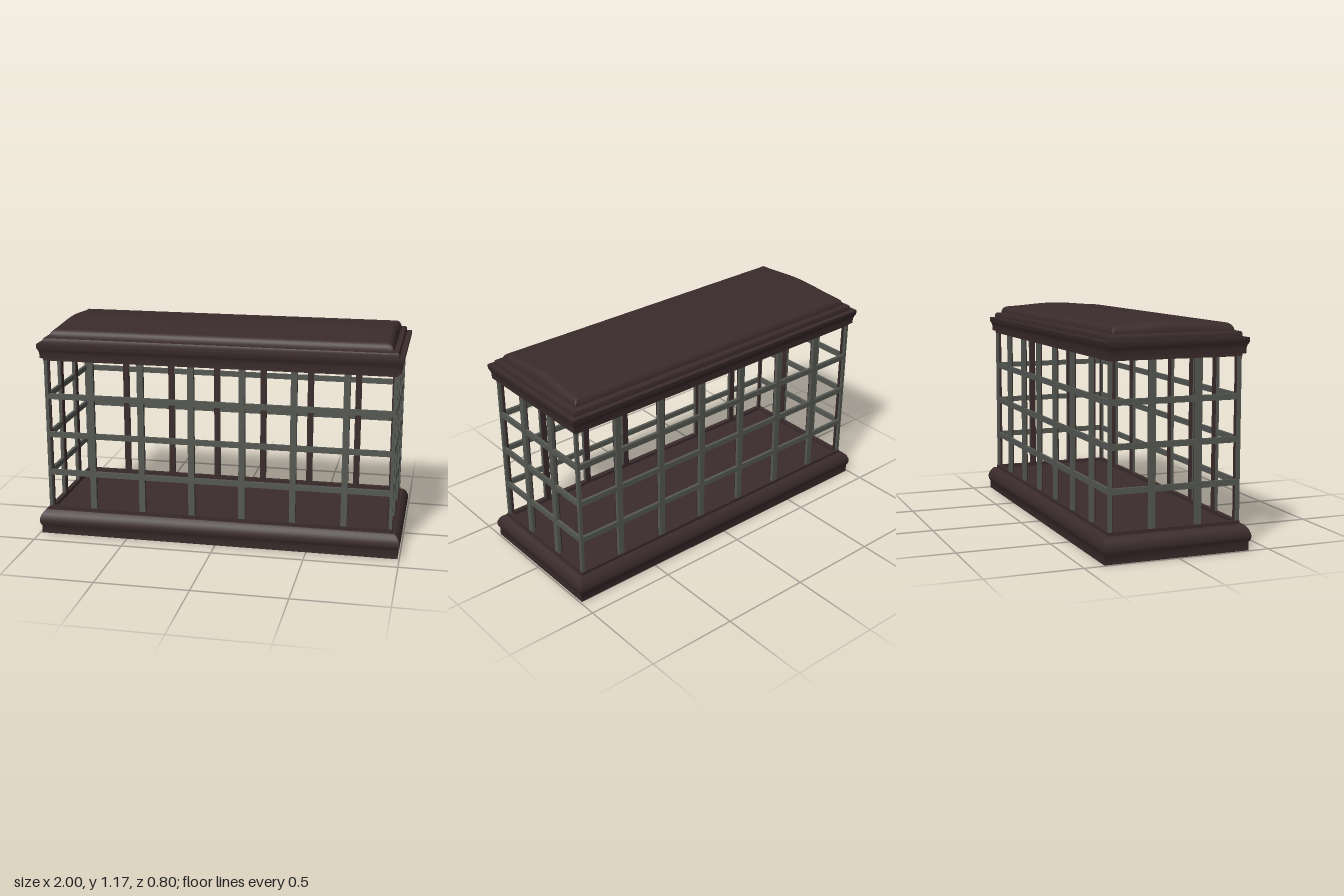
import * as THREE from 'three';
import { toCreasedNormals } from 'three/addons/utils/BufferGeometryUtils.js';

const EXTRA = 0.598; // how much longer the half length is than the half depth

// Rectangular moulding: each profile point is [half depth, height], bottom to top
function moulding(profile) {
  const pos = [];
  const idx = [];
  for (const [d, y] of profile) {
    const w = d + EXTRA;
    pos.push(w, y, d, w, y, -d, -w, y, -d, -w, y, d);
  }
  for (let i = 0; i < profile.length - 1; i++) {
    for (let k = 0; k < 4; k++) {
      const a = i * 4 + k, b = i * 4 + (k + 1) % 4;
      idx.push(a, b, b + 4, a, b + 4, a + 4);
    }
  }
  const geo = new THREE.BufferGeometry();
  geo.setAttribute('position', new THREE.Float32BufferAttribute(pos, 3));
  geo.setIndex(idx);
  return toCreasedNormals(geo, 0.6);
}

// Crown of the roof: rounded rim with a gentle arch across the depth
function crownGeometry() {
  const rim = 0.035;
  const insets = [0, 0.001, 0.004, 0.009, 0.016, 0.025, rim];
  const line = (half, inner) => {
    const out = insets.map((d) => d - half);
    const e = half - rim;
    for (let i = 1; i < inner; i++) out.push(-e + (2 * e * i) / inner);
    return out.concat(insets.map((d) => half - d).reverse());
  };
  const hx = 0.925, hz = 0.327;
  const xs = line(hx, 6), zs = line(hz, 16);
  const geo = new THREE.PlaneGeometry(1, 1, xs.length - 1, zs.length - 1);
  const p = geo.attributes.position;
  for (let j = 0; j < zs.length; j++) {
    for (let i = 0; i < xs.length; i++) {
      const x = xs[i], z = zs[j];
      const t = Math.min(1, Math.min(hx - Math.abs(x), hz - Math.abs(z)) / rim);
      const round = Math.sqrt(Math.max(0, 1 - (1 - t) ** 2));
      const arch = 0.009 * (1 + Math.cos((Math.PI * z) / hz));
      p.setXYZ(j * xs.length + i, x, 1.108 + round * (0.042 + arch), z);
    }
  }
  geo.computeVertexNormals();
  return geo;
}

export function createModel() {
  const model = new THREE.Group();
  model.name = 'glazedKiosk';
  const wood = new THREE.MeshStandardMaterial({ name: 'dark brown wood', color: 0x3b2b2c });
  const metal = new THREE.MeshStandardMaterial({ name: 'grey metal', color: 0x555853 });

  const add = (parent, name, geo, mat) => {
    const mesh = new THREE.Mesh(geo, mat);
    mesh.name = name;
    parent.add(mesh);
    return mesh;
  };
  const box = (parent, name, size, at, mat) =>
    add(parent, name, new THREE.BoxGeometry(...size), mat).position.set(...at);

  // Base with bulging rim, raised sill and floor
  add(model, 'base', moulding([
    [0, 0], [0.392, 0], [0.392, 0.045], [0.399, 0.056], [0.402, 0.072], [0.4, 0.09],
    [0.392, 0.11], [0.381, 0.124], [0.37, 0.133], [0.357, 0.133], [0.357, 0.15],
    [0.331, 0.15], [0.331, 0.133], [0, 0.133],
  ]), wood);

  // Roof cornice and stepped ledge
  add(model, 'cornice', moulding([
    [0, 0.985], [0.357, 0.985], [0.357, 1.0], [0.371, 1.0], [0.372, 1.028], [0.376, 1.043],
    [0.383, 1.056], [0.384, 1.08], [0.357, 1.08], [0.357, 1.098], [0.353, 1.107],
    [0.345, 1.11], [0, 1.11],
  ]), wood);
  add(model, 'roofCrown', crownGeometry(), wood);

  // Corner posts
  const low = 0.145, high = 0.99;
  const mid = (low + high) / 2, tall = high - low;
  for (const sx of [-1, 1]) {
    for (const sz of [-1, 1]) {
      box(model, 'cornerPost', [0.018, tall, 0.018], [sx * 0.944, mid, sz * 0.346], metal);
      box(model, 'cornerLining', [0.012, tall, 0.012], [sx * 0.933, mid, sz * 0.335], wood);
    }
  }

  // One wall lattice, built facing +z: metal bars lined with wood on the inside
  function lattice(name, width, uprights) {
    const wall = new THREE.Group();
    wall.name = name;
    for (const x of uprights) {
      box(wall, 'upright', [0.034, tall, 0.018], [x, mid, -0.009], metal);
      box(wall, 'uprightLining', [0.034, tall, 0.006], [x, mid, -0.021], wood);
    }
    for (const y of [0.349, 0.567, 0.784]) {
      box(wall, 'crossbar', [width, 0.03, 0.016], [0, y, -0.009], metal);
    }
    model.add(wall);
    return wall;
  }

  const longBars = [-2.5, -1.5, -0.5, 0.5, 1.5, 2.5].map((k) => k * 0.278);
  const shortBars = [-0.1245, 0.1245];
  lattice('frontLattice', 1.89, longBars).position.z = 0.355;
  const back = lattice('backLattice', 1.89, longBars);
  back.position.z = -0.355;
  back.rotation.y = Math.PI;
  for (const side of [-1, 1]) {
    const end = lattice(side > 0 ? 'leftLattice' : 'rightLattice', 0.69, shortBars);
    end.position.x = side * 0.953;
    end.rotation.y = (side * Math.PI) / 2;
  }
  return model;
}
